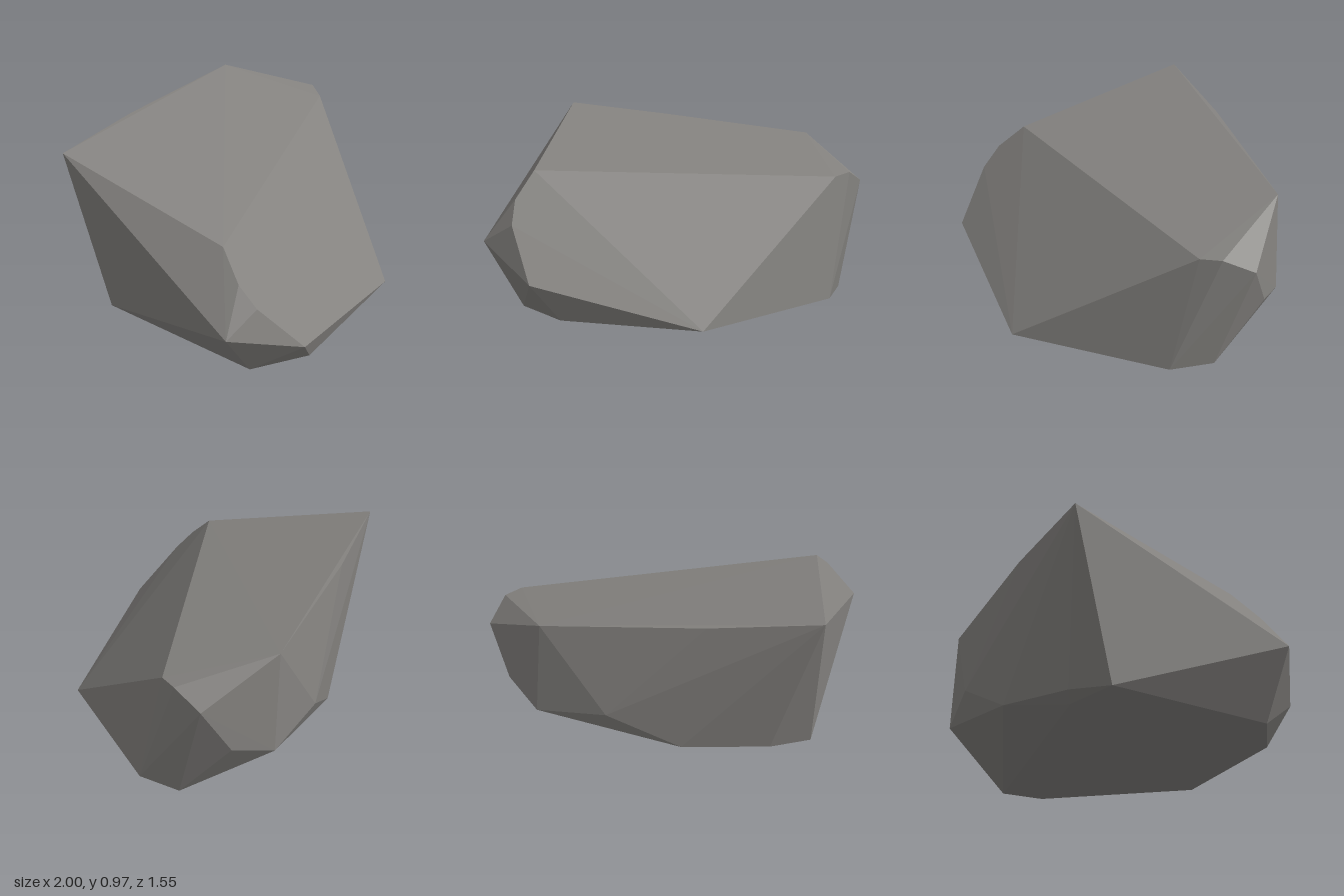
import * as THREE from 'three';
import { ConvexGeometry } from 'three/addons/geometries/ConvexGeometry.js';

export function createModel() {
  const stone = new THREE.MeshStandardMaterial({ color: 0x84827f });
  stone.name = 'stone grey';

  // Corners of the faceted boulder, wrapped in a convex hull
  const corners = [
    // sloping top
    [-0.84, 0.97, -0.68], [-0.24, 0.913, -0.715], [0.64, 0.83, -0.70],
    [0.95, 0.69, -0.25], [0.88, 0.68, -0.15], [-0.76, 0.74, 0.33],
    // front left edge
    [-0.825, 0.60, 0.475], [-0.81, 0.48, 0.58], [-1, 0.365, 0.52], [-0.65, 0.205, 0.775],
    // right side and back
    [1, 0.61, -0.42], [0.88, 0.34, -0.54], [0.69, 0.26, -0.705],
    [0.29, 0.33, -0.78], [-0.11, 0.10, -0.72], [-0.59, 0.035, -0.575],
    // flat base
    [0.29, 0, 0.72], [0.88, 0, 0], [0.905, 0, -0.25], [-0.5, 0, -0.52],
    [-0.81, 0, -0.445], [-0.78, 0, 0.51], [-0.5, 0, 0.71],
  ].map((p) => new THREE.Vector3(...p));

  const boulder = new THREE.Mesh(new ConvexGeometry(corners), stone);
  boulder.name = 'boulder';

  const group = new THREE.Group();
  group.name = 'rock';
  group.add(boulder);
  return group;
}
